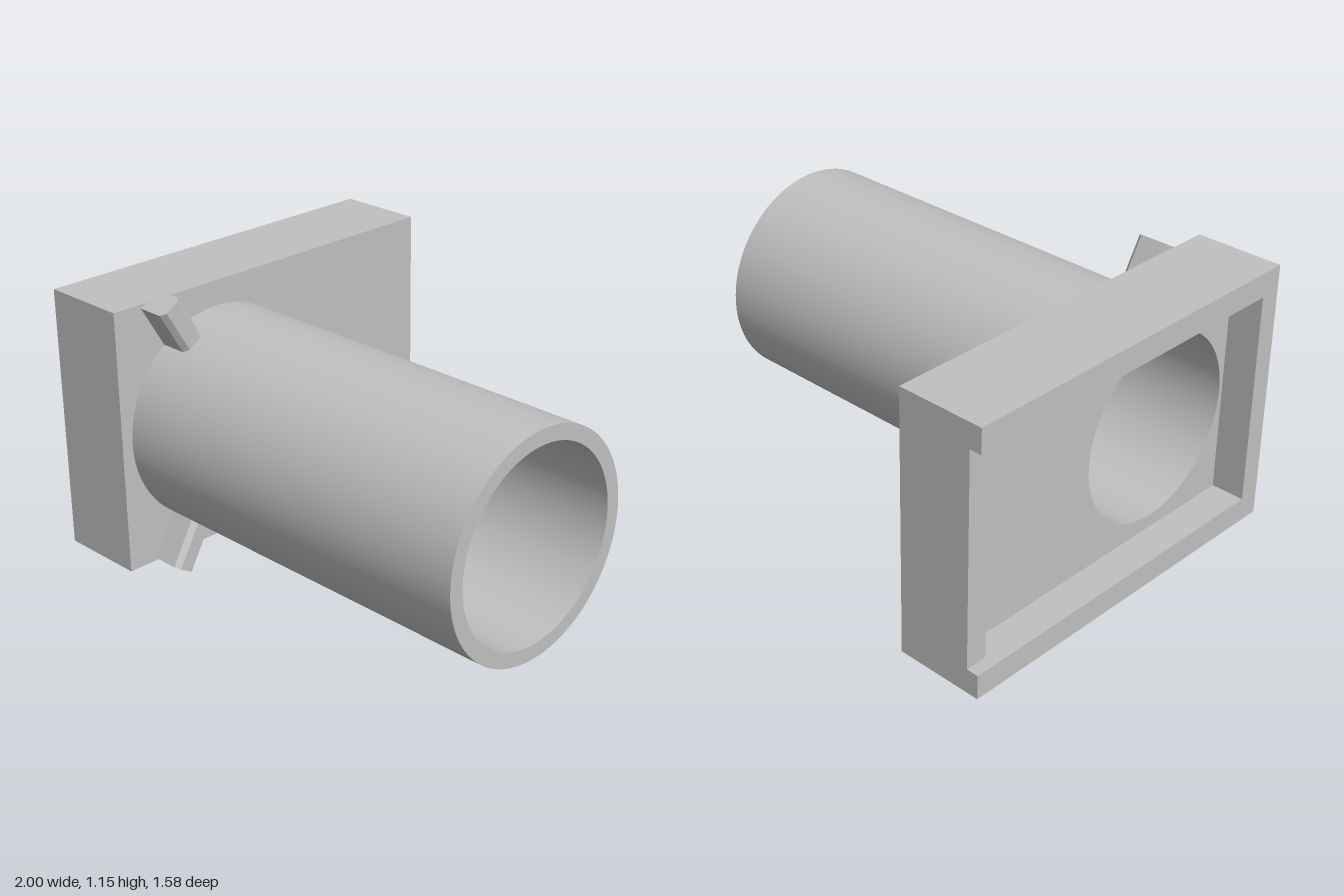
import * as THREE from 'three';
import { toCreasedNormals } from 'three/addons/utils/BufferGeometryUtils.js';

export function createModel() {
  const model = new THREE.Group();
  const grey = new THREE.MeshStandardMaterial({ color: 0xc0c0c0 });
  grey.name = 'plain grey';

  const cy = 0.577, cz = 0.302; // tube axis
  const faceX = -0.635, floorX = -0.86, notchX = -0.95, backX = -1;
  const bottom = 0.04, top = 1.12, halfZ = 0.79;
  const rimY = 0.1, rimZ = 0.09;

  const add = (name, geometry, parent = model) => {
    const mesh = new THREE.Mesh(geometry, grey);
    mesh.name = name;
    parent.add(mesh);
    return mesh;
  };
  const polygon = (points) => points.map(([x, y]) => new THREE.Vector2(x, y));

  // Extrude a (-z, y) outline along x
  const slab = (shape, x0, x1) =>
    new THREE.ExtrudeGeometry(shape, { depth: x1 - x0, bevelEnabled: false, curveSegments: 48 })
      .rotateY(Math.PI / 2).translate(x0, 0, 0);
  const outline = () => new THREE.Shape(polygon([
    [-halfZ, bottom], [halfZ, bottom], [halfZ, top], [-halfZ, top]]));

  // Mounting housing: floor plate, rim, and a lip with one side cut away
  const housing = new THREE.Group();
  housing.name = 'housing';
  model.add(housing);

  const floor = outline();
  floor.holes.push(new THREE.Path().absarc(-cz, cy, 0.41, 0, Math.PI * 2, true));
  add('housingFloor', slab(floor, floorX, faceX), housing);

  const inZ = halfZ - rimZ, low = bottom + rimY, high = top - rimY;
  const rim = outline();
  rim.holes.push(new THREE.Path(polygon([[-inZ, low], [-inZ, high], [inZ, high], [inZ, low]])));
  add('housingRim', slab(rim, notchX, floorX), housing);

  const lip = new THREE.Shape(polygon([
    [-halfZ, bottom], [halfZ, bottom], [halfZ, low], [-inZ, low],
    [-inZ, high], [halfZ, high], [halfZ, top], [-halfZ, top]]));
  add('housingLip', slab(lip, backX, notchX), housing);

  // Hollow tube running through the housing floor
  const rIn = 0.381, rOut = 0.441;
  const tube = new THREE.LatheGeometry(polygon([
    [rIn, floorX], [rOut, floorX], [rOut, 1], [rIn, 1], [rIn, floorX]]), 96);
  tube.rotateZ(-Math.PI / 2).translate(0, cy, cz);
  add('tube', toCreasedNormals(tube, 0.6));

  // Three chamfered tabs spaced evenly around the tube base
  const w = 0.05, c = 0.02, tipX = -0.505;
  const tabShape = new THREE.Shape(polygon([
    [faceX, -w], [tipX - c, -w], [tipX, -w + c], [tipX, w - c], [tipX - c, w], [faceX, w]]));
  for (let i = 0; i < 3; i++) {
    const tab = new THREE.ExtrudeGeometry(tabShape, { depth: 0.217, bevelEnabled: false });
    tab.translate(0, 0, 0.42).rotateX(Math.PI / 3 + i * Math.PI * 2 / 3).translate(0, cy, cz);
    add('tab' + (i + 1), tab);
  }
  return model;
}
